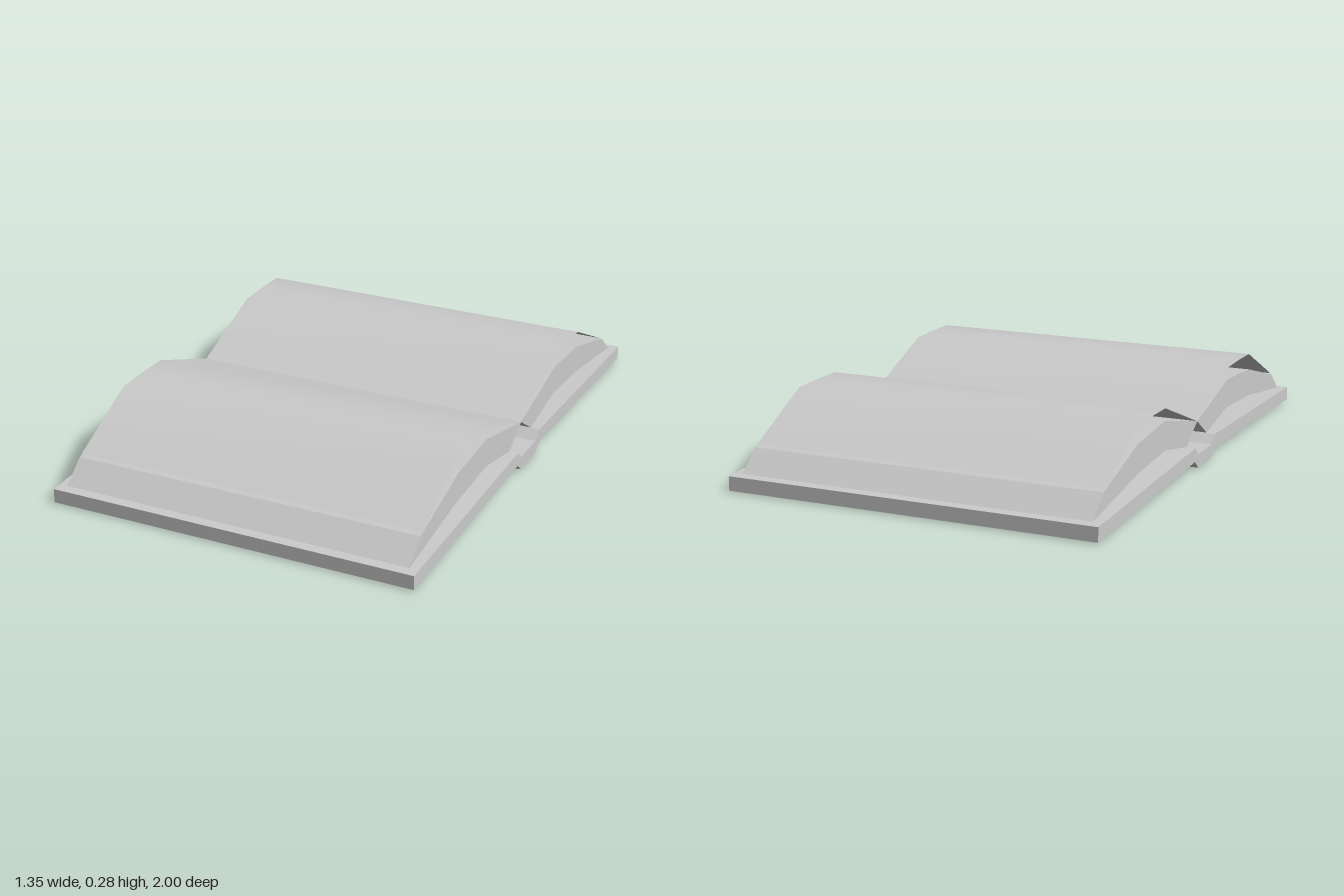
import * as THREE from 'three';
import { toCreasedNormals } from 'three/addons/utils/BufferGeometryUtils.js';

const material = new THREE.MeshStandardMaterial({ color: 0xcccccc });
const sheetMaterial = new THREE.MeshStandardMaterial({ color: 0xcccccc, side: THREE.DoubleSide });

// Extrudes a (z, y) outline along x, centred on x = 0
function extrudeAlongX(points, width, name) {
  const shape = new THREE.Shape(points.map(([z, y]) => new THREE.Vector2(z, y)));
  const geometry = new THREE.ExtrudeGeometry(shape, { depth: width, bevelEnabled: false });
  geometry.translate(0, 0, -width / 2);
  geometry.rotateY(-Math.PI / 2);
  const mesh = new THREE.Mesh(toCreasedNormals(geometry, 0.38), material);
  mesh.name = name;
  return mesh;
}

// Sweeps an open (z, y) line along x as a thin smooth surface
function sheetAlongX(points, width, name) {
  const geometry = new THREE.PlaneGeometry(width, 1, 1, points.length - 1);
  const position = geometry.attributes.position;
  points.forEach(([z, y], i) => {
    for (let k = 0; k < 2; k++) {
      const v = i * 2 + k;
      position.setXYZ(v, position.getX(v), y, z);
    }
  });
  geometry.computeVertexNormals();
  const mesh = new THREE.Mesh(geometry, sheetMaterial);
  mesh.name = name;
  return mesh;
}

const mirrorZ = (points) => points.map(([z, y]) => [-z, y]);

export function createModel() {
  const book = new THREE.Group();
  book.name = 'openBook';

  // Hard cover: two boards joined by a lowered spine
  const upper = [[1, 0.055], [0.105, 0.08], [0.07, 0.05]];
  const lower = [[0.07, 0], [0.105, 0.03], [1, 0.004]];
  const half = [...upper, ...lower];
  const cover = [
    ...upper,
    ...mirrorZ(upper).reverse(),
    ...mirrorZ(half.slice(3)).reverse(),
    ...lower,
  ];
  book.add(extrudeAlongX(cover, 1.352, 'cover'));

  // Arched page block and the loose top sheet of one half
  const block = [
    [0, 0.15], [0.33, 0.23], [0.58, 0.215], [0.88, 0.13], [0.965, 0.058],
    [0.59, 0.11], [0.33, 0.125], [0.105, 0.082],
  ];
  const sheet = [[0, 0.15], [0.33, 0.275], [0.45, 0.277], [0.58, 0.275], [0.865, 0.138]];
  const pageWidth = 1.288;
  book.add(extrudeAlongX(block, pageWidth, 'frontPageBlock'));
  book.add(extrudeAlongX(mirrorZ(block), pageWidth, 'backPageBlock'));
  book.add(sheetAlongX(sheet, pageWidth, 'frontTopSheet'));
  // Listed from the outer edge inwards so the surface faces up
  book.add(sheetAlongX(mirrorZ(sheet).reverse(), pageWidth, 'backTopSheet'));

  return book;
}
